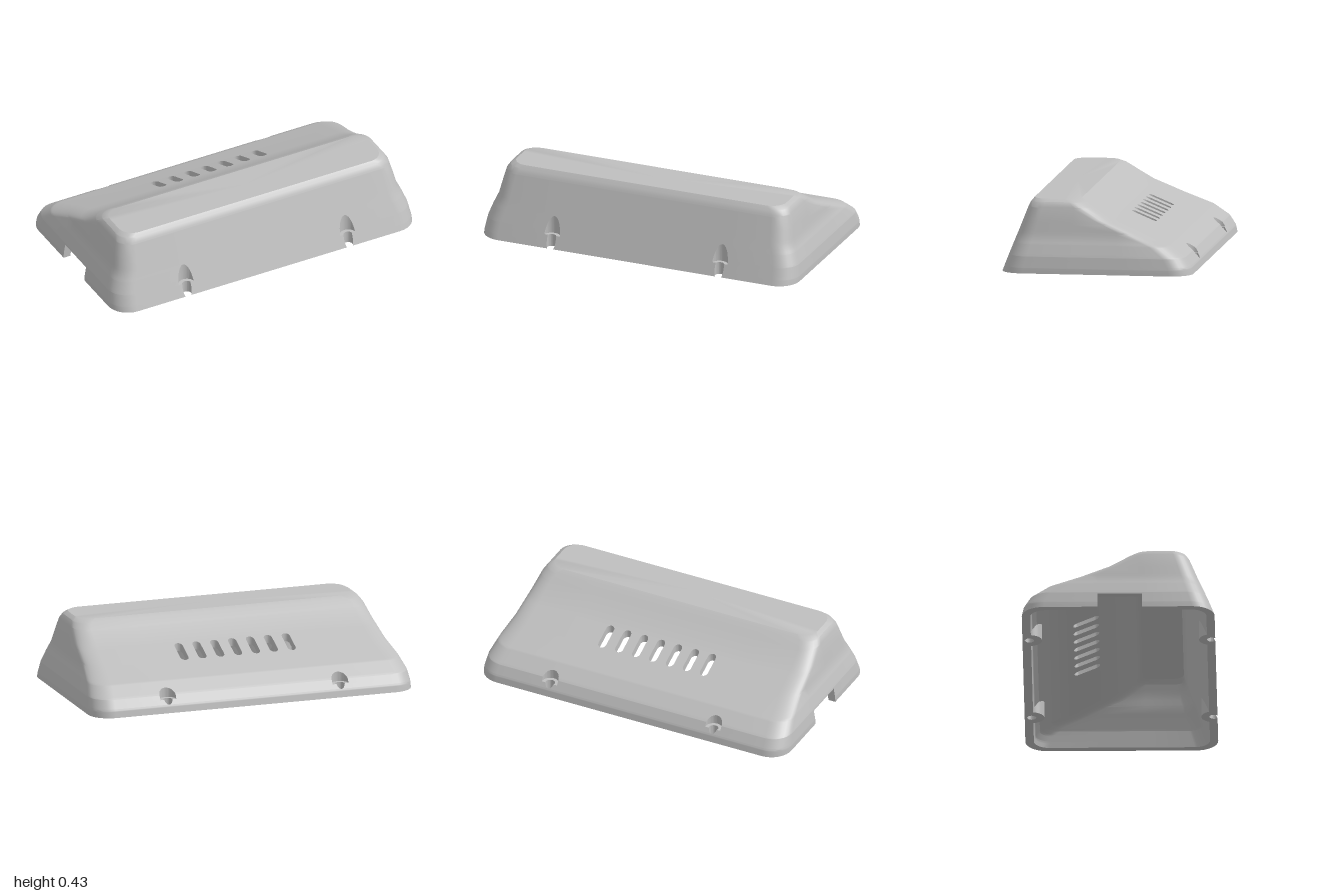
import * as THREE from 'three';
import { toCreasedNormals } from 'three/addons/utils/BufferGeometryUtils.js';

const shellGrey = new THREE.MeshStandardMaterial({ color: 0xbebebe, side: THREE.DoubleSide });
shellGrey.name = 'shell grey';

// Interpolate a table of [key, value] pairs that rises or falls steadily; ends are clamped
function lerpTable(table, k, outside) {
  for (let i = 0; i + 1 < table.length; i++) {
    const [a, va] = table[i], [b, vb] = table[i + 1];
    if ((k - a) * (k - b) <= 0 && a !== b) return va + (vb - va) * (k - a) / (b - a);
  }
  const first = table[0], last = table[table.length - 1];
  const end = Math.abs(k - first[0]) < Math.abs(k - last[0]) ? first : last;
  if (outside !== undefined && Math.abs(k - end[0]) > 1e-6) return outside;
  return end[1];
}

// Profiles by height: half width, front z, back z, plan corner radius
const outer = {
  top: 0.425,
  w: [[0, 1], [0.03, 0.999], [0.1, 0.988], [0.17, 0.963], [0.23, 0.937], [0.31, 0.921], [0.38, 0.905], [0.41, 0.885], [0.425, 0.858]],
  f: [[0, 0.565], [0.375, 0.42], [0.405, 0.405], [0.425, 0.388]],
  b: [[0, -0.565], [0.045, -0.555], [0.1, -0.52], [0.165, -0.43], [0.23, -0.27], [0.31, -0.08], [0.37, 0.02], [0.41, 0.08], [0.425, 0.11]],
  r: [[0, 0.13], [0.425, 0.09]],
};
const inner = {
  top: 0.38,
  w: [[0, 0.955], [0.1, 0.943], [0.17, 0.918], [0.23, 0.892], [0.31, 0.876], [0.36, 0.855], [0.38, 0.82]],
  f: [[0, 0.517], [0.34, 0.385], [0.38, 0.365]],
  b: [[0, -0.515], [0.035, -0.508], [0.075, -0.48], [0.125, -0.412], [0.19, -0.252], [0.27, -0.062], [0.33, 0.04], [0.37, 0.1], [0.38, 0.125]],
  r: [[0, 0.09], [0.38, 0.06]],
};

// Screw sockets: plan distance of the axis from the middle, for front (+1) and back (-1)
const SCREW_X = 0.535, FLOOR = 0.075, HOLE_R = 0.028, POCKET_R = 0.05, BOSS_R = 0.075, N = 12;
const axis = side => side > 0 ? 0.545 : 0.525;
const outward = (s, side, y) => side * lerpTable(side > 0 ? s.f : s.b, y);
const heightAt = (s, side, z) => lerpTable((side > 0 ? s.f : s.b).map(([y, v]) => [v, y]), z);

// Where an upright cylinder meets a wall between two heights: [dx, y, z], from the top down
function arc(s, side, R, yLo, yHi, n = N) {
  const c = axis(side);
  const limit = y => Math.acos(THREE.MathUtils.clamp((c - outward(s, side, y)) / R, -1, 1));
  const a = limit(yHi), b = limit(yLo), pts = [];
  for (let i = 0; i <= n; i++) {
    const t = a + (b - a) * i / n, z = side * (c - R * Math.cos(t));
    pts.push([R * Math.sin(t), heightAt(s, side, z), z]);
  }
  return pts;
}
const halfWidth = (lists, y) => Math.max(...lists.map(l => lerpTable(l.map(p => [p[1], p[0]]), y, 0)));
for (const side of [1, -1]) {
  outer[side] = [arc(outer, side, POCKET_R, FLOOR, 1), arc(outer, side, HOLE_R, 0, FLOOR)];
  inner[side] = [arc(inner, side, BOSS_R, 0, 1, 2 * N + 1)];
}

// Vent slots, upright cuts with round ends
const SLOT_Z = -0.195, SLOT_R = 0.025, SLOT_HALF = 0.05, SLOT_X = [-3, -2, -1, 0, 1, 2, 3].map(k => k * 0.111);
const slotWidth = z => Math.sqrt(Math.max(0, SLOT_R ** 2 - Math.max(0, Math.abs(z - SLOT_Z) - SLOT_HALF) ** 2));
const slotZs = [];
for (const e of [-1, 1]) for (let i = 0; i <= 6; i++) {
  const t = (e < 0 ? i : 6 - i) / 6 * Math.PI / 2;
  slotZs.push(SLOT_Z + e * (SLOT_HALF + SLOT_R * Math.cos(t)));
}

// Cable notch in one end wall
const NOTCH = [-0.12, 0.14], NOTCH_TOP = 0.09, NOTCH_COL = 51;
const HOLE_COLS = new Set([0, 2, 4, 6, 8, 10, 12, 14, 16, 38, 40]);

// One level outline of the shell, with columns along every opening
function ring(s, y) {
  const w = lerpTable(s.w, y), f = lerpTable(s.f, y), b = lerpTable(s.b, y), r = lerpTable(s.r, y);
  const pts = [], add = (x, z) => pts.push([x, y, z]);
  const db = halfWidth(s[-1], y), df = halfWidth(s[1], y), ds = slotWidth(b);
  const corner = (cx, cz, start) => {
    for (let i = 0; i <= 8; i++) {
      const t = start + i / 8 * Math.PI / 2;
      add(cx + r * Math.cos(t), cz + r * Math.sin(t));
    }
  };
  const clampZ = z => THREE.MathUtils.clamp(z, b + r, f - r);
  for (const [c, d] of [[-SCREW_X, db], ...SLOT_X.map(x => [x, ds]), [SCREW_X, db]]) { add(c - d, b); add(c + d, b); }
  corner(w - r, b + r, -Math.PI / 2);
  for (const z of NOTCH) add(w, clampZ(z));
  corner(w - r, f - r, 0);
  for (const c of [SCREW_X, -SCREW_X]) { add(c + df, f); add(c - df, f); }
  corner(r - w, f - r, Math.PI / 2);
  for (const z of [NOTCH[1], NOTCH[0]]) add(-w, clampZ(z));
  corner(r - w, b + r, Math.PI);
  return pts;
}

// Triangle collector
function builder() {
  const pos = [];
  const tri = (a, b, c) => {
    const [A, B, C] = [a, b, c].map(p => new THREE.Vector3(...p));
    if (B.sub(A).cross(C.sub(A)).length() > 1e-9) pos.push(...a, ...b, ...c);
  };
  const quad = (a, b, c, d) => { tri(a, b, c); tri(a, c, d); };
  const strip = (p, q, flip) => {
    for (let i = 0; i + 1 < p.length; i++) {
      if (flip) quad(p[i], p[i + 1], q[i + 1], q[i]);
      else quad(p[i], q[i], q[i + 1], p[i + 1]);
    }
  };
  const mesh = name => {
    const g = new THREE.BufferGeometry();
    g.setAttribute('position', new THREE.Float32BufferAttribute(pos, 3));
    const m = new THREE.Mesh(toCreasedNormals(g, 0.45), shellGrey);
    m.name = name;
    return m;
  };
  return { tri, quad, strip, mesh };
}

// Wall and roof of one skin
function skin(s, name, flip) {
  const ys = [...s.w, ...s.f, ...s.b].map(p => p[0]);
  ys.push(NOTCH_TOP, FLOOR - 1e-5, FLOOR + 1e-5, ...slotZs.map(z => heightAt(s, -1, z)));
  for (const side of [1, -1]) for (const l of s[side]) ys.push(...l.map(p => p[1]));
  ys.sort((a, b) => a - b);
  const rows = ys.filter((y, i) => i === 0 || y - ys[i - 1] > 1e-6);
  const rings = rows.map(y => ring(s, y)), B = builder(), n = rings[0].length;
  for (let i = 0; i + 1 < rings.length; i++) for (let j = 0; j < n; j++) {
    if (HOLE_COLS.has(j) || (j === NOTCH_COL && rows[i + 1] <= NOTCH_TOP + 1e-5)) continue;
    const k = (j + 1) % n, p = rings[i], q = rings[i + 1];
    B.strip([p[j], p[k]], [q[j], q[k]], flip);
  }
  const roof = rings[rings.length - 1], mid = [0, s.top, 0.25];
  roof.forEach((p, j) => flip ? B.tri(mid, p, roof[(j + 1) % n]) : B.tri(mid, roof[(j + 1) % n], p));
  return B.mesh(name);
}

// Counterbored screw socket with its inner boss
function screwSocket(cx, side) {
  const B = builder();
  const pocket = outer[side][0], boss = inner[side][0];
  const holeIn = arc(outer, side, HOLE_R, FLOOR, 1).map(([x, , z]) => [x, FLOOR, z]);
  const hole = [...holeIn, ...outer[side][1]];
  const rimPoint = [halfWidth(outer[side], 0), 0, side * outward(outer, side, 0)];
  for (const m of [1, -1]) {
    const flip = m * side > 0;
    const place = (list, y) => list.map(p => [cx + m * p[0], y ?? p[1], p[2]]);
    B.strip(place(pocket, FLOOR), place(pocket), flip);
    B.strip(place(holeIn, FLOOR), place(pocket, FLOOR), flip);
    B.strip(place(hole, 0), place(hole), flip);
    B.strip(place(boss, 0), place(boss), !flip);
    B.strip(place([...hole, rimPoint], 0), place([...boss, boss[boss.length - 1]], 0), !flip);
  }
  return B.mesh('screwSocket');
}

export function createModel() {
  const group = new THREE.Group();
  group.name = 'cover';
  group.add(skin(outer, 'outerShell', false), skin(inner, 'innerShell', true));

  // Bottom rim
  const rim = builder(), a = ring(outer, 0), b = ring(inner, 0);
  a.forEach((p, j) => {
    const k = (j + 1) % a.length;
    if (!HOLE_COLS.has(j) && j !== NOTCH_COL) rim.quad(p, a[k], b[k], b[j]);
  });
  group.add(rim.mesh('bottomRim'));

  // Vent slot walls
  const vents = builder();
  for (const x of SLOT_X) for (const m of [1, -1]) {
    const edge = s => slotZs.map(z => [x + m * slotWidth(z), heightAt(s, -1, z), z]);
    vents.strip(edge(outer), edge(inner), m > 0);
  }
  group.add(vents.mesh('ventWalls'));

  // Notch walls and lintel
  const notch = builder();
  const line = (s, z) => [0, 0.03, NOTCH_TOP].map(y => [-lerpTable(s.w, y), y, z]);
  NOTCH.forEach((z, i) => notch.strip(line(outer, z), line(inner, z), i === 0));
  const [o0, o1, i0, i1] = [outer, inner].flatMap(s => NOTCH.map(z => line(s, z)[2]));
  notch.quad(o0, i0, i1, o1);
  group.add(notch.mesh('cableNotch'));

  for (const x of [SCREW_X, -SCREW_X]) for (const side of [1, -1]) group.add(screwSocket(x, side));
  return group;
}
